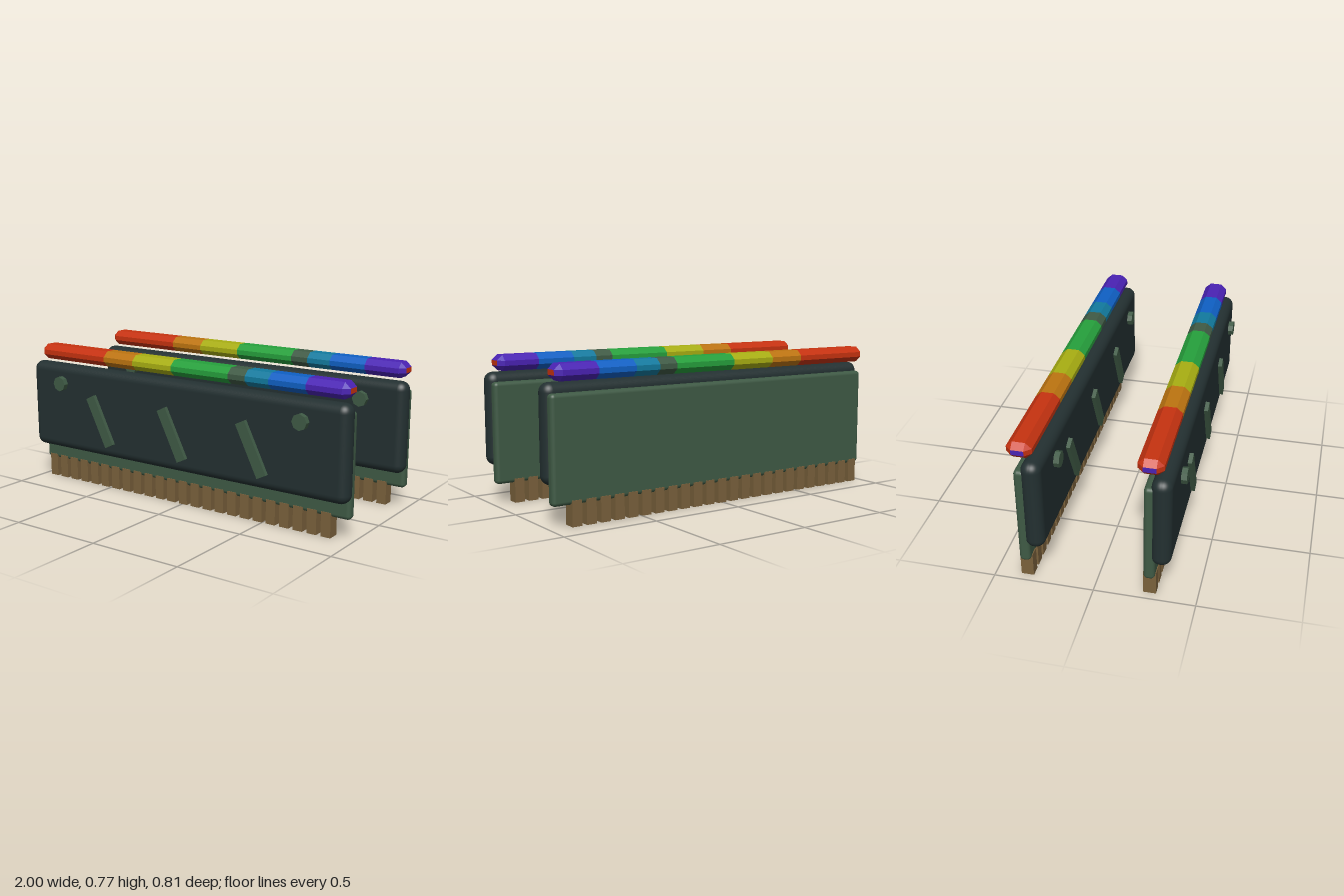
import * as THREE from 'three';
import { RoundedBoxGeometry } from 'three/addons/geometries/RoundedBoxGeometry.js';

const mat = (name, color) => {
  const m = new THREE.MeshStandardMaterial({ color });
  m.name = name;
  return m;
};

export function createModel() {
  const model = new THREE.Group();
  model.name = 'memorySticks';

  const board = mat('board green', 0x3f5a45);
  const shell = mat('dark slate', 0x233031);
  const brass = mat('contact brown', 0x7a613c);
  const red = mat('red', 0xc63210);
  const orange = mat('orange', 0xbd7410);
  const yellow = mat('yellow', 0xa8ae12);
  const green = mat('green', 0x26a03c);
  const teal = mat('teal', 0x117a9e);
  const blue = mat('blue', 0x0f60c4);
  const purple = mat('purple', 0x4a22b4);

  const add = (parent, name, geo, material, x, y, z) => {
    const mesh = new THREE.Mesh(geo, material);
    mesh.name = name;
    mesh.position.set(x, y, z);
    parent.add(mesh);
    return mesh;
  };

  // Cross-section of the light bar as [y, z]: full octagon, or the small end rectangle
  const Y = 0.041, Z = 0.062, y = 0.013, z = 0.031;
  const full = [[Y, -z], [Y, z], [y, Z], [-y, Z], [-Y, z], [-Y, -z], [-y, -Z], [y, -Z]];
  const tip = full.map(([a, b]) => [Math.sign(a) * y, Math.sign(b) * z]);

  // Faceted sleeve through a list of [x, section] stations
  const sleeve = (stations) => {
    const pos = [];
    for (let s = 0; s + 1 < stations.length; s++) {
      const [x0, a] = stations[s], [x1, b] = stations[s + 1];
      for (let i = 0; i < 8; i++) {
        const j = (i + 1) % 8;
        const A = [x0, ...a[i]], B = [x0, ...a[j]], C = [x1, ...b[j]], D = [x1, ...b[i]];
        pos.push(...A, ...B, ...C, ...A, ...C, ...D);
      }
    }
    const g = new THREE.BufferGeometry();
    g.setAttribute('position', new THREE.Float32BufferAttribute(pos, 3));
    g.computeVertexNormals();
    return g;
  };

  // Light bar colour bands: start, end, material
  const bands = [
    ['red', -0.945, -0.5, red], ['orange', -0.5, -0.3, orange],
    ['yellow', -0.3, -0.045, yellow], ['green', -0.045, 0.31, green],
    ['neutral', 0.31, 0.41, board], ['teal', 0.41, 0.545, teal],
    ['blue', 0.545, 0.75, blue], ['purple', 0.75, 0.94, purple],
  ];

  const makeStick = (name) => {
    const stick = new THREE.Group();
    stick.name = name;

    // Circuit board and heat spreader
    add(stick, 'circuitBoard', new RoundedBoxGeometry(1.97, 0.527, 0.055, 3, 0.02), board, 0, 0.3685, 0.268);
    add(stick, 'heatSpreader', new RoundedBoxGeometry(2, 0.484, 0.098, 5, 0.046), shell, 0, 0.438, 0.323);

    // Row of edge contacts
    const pin = new THREE.BoxGeometry(0.053, 0.127, 0.063);
    const pins = new THREE.Group();
    pins.name = 'contacts';
    for (let i = 0; i < 24; i++) add(pins, 'contact', pin, brass, -0.931 + i * 0.0779, 0.0635, 0.268);
    stick.add(pins);

    // Slanted ribs on the spreader
    const rib = new THREE.BoxGeometry(0.058, 0.287, 0.04);
    for (const x of [-0.488, 0, 0.487]) {
      add(stick, 'slantedRib', rib, board, x, 0.398, 0.373).rotation.z = 0.46;
    }

    // Octagonal studs standing just off the spreader
    const stud = new THREE.CylinderGeometry(0.041, 0.041, 0.028, 8).toNonIndexed();
    stud.rotateX(Math.PI / 2);
    stud.computeVertexNormals();
    for (const x of [-0.765, 0.763]) add(stick, 'stud', stud, board, x, 0.577, 0.393);

    // Rainbow light bar with chamfered ends
    const bar = new THREE.Group();
    bar.name = 'lightBar';
    bar.position.set(0, 0.73, 0.268);
    bands.forEach(([label, x0, x1, material], i) => {
      const stations = [[x0, full], [x1, full]];
      if (i === 0) stations.unshift([-0.975, tip]);
      if (i === bands.length - 1) stations.push([0.97, tip]);
      add(bar, label + 'Band', sleeve(stations), material, 0, 0, 0);
    });
    const cap = new THREE.PlaneGeometry(2 * z, 2 * y);
    add(bar, 'rightEndCap', cap, purple, -0.975, 0, 0).rotation.y = -Math.PI / 2;
    add(bar, 'leftEndCap', cap, red, 0.97, 0, 0).rotation.y = Math.PI / 2;
    stick.add(bar);
    return stick;
  };

  // Two identical sticks, one behind the other
  const front = makeStick('frontStick');
  const rear = makeStick('rearStick');
  rear.position.z = -0.611;
  model.add(front, rear);
  return model;
}
